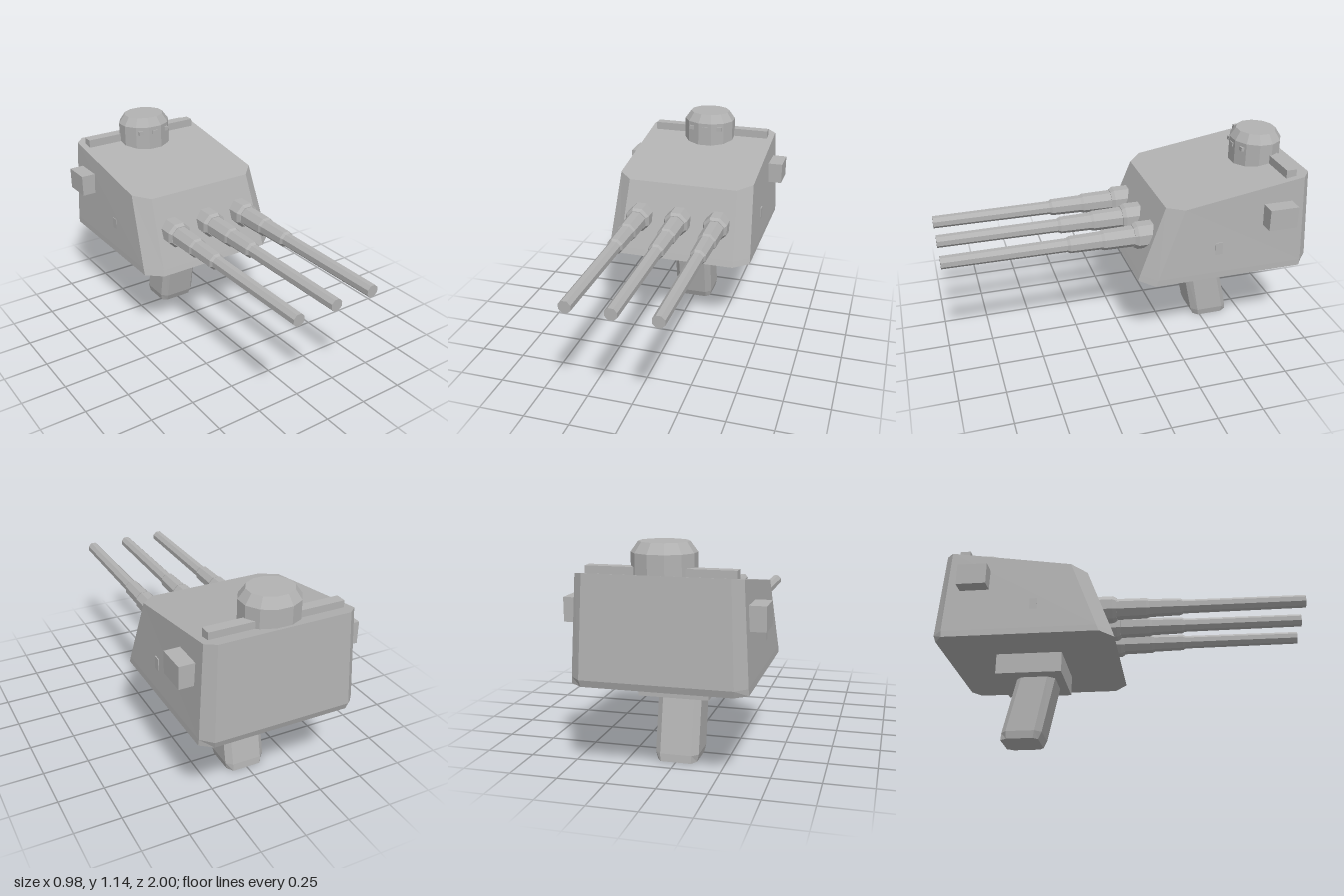
import * as THREE from 'three';

const paint = new THREE.MeshStandardMaterial({ color: 0xb2b2b2, flatShading: true });
paint.name = 'plain grey';

// Chamfered rectangle: front edge, two side points, back edge; mirrored to -x
function ring(xFront, zFront, xSide, zSideFront, zSideBack, xBack, zBack, height) {
  const half = [[xFront, zFront], [xSide, zSideFront], [xSide, zSideBack], [xBack, zBack]];
  const full = [...half, ...half.slice().reverse().map(([x, z]) => [-x, z])];
  return full.map(([x, z]) => [x, height(z), z]);
}

// Skin a stack of rings from bottom to top, with flat end caps
function loft(rings) {
  const n = rings[0].length, index = [];
  for (let j = 0; j < rings.length - 1; j++) {
    for (let i = 0; i < n; i++) {
      const a = j * n + i, b = j * n + (i + 1) % n;
      index.push(a, b, a + n, b, b + n, a + n);
    }
  }
  const top = (rings.length - 1) * n;
  for (let i = 1; i < n - 1; i++) {
    index.push(0, i + 1, i, top, top + i, top + i + 1);
  }
  const g = new THREE.BufferGeometry();
  g.setAttribute('position', new THREE.Float32BufferAttribute(rings.flat(2), 3));
  g.setIndex(index);
  g.computeVertexNormals();
  return g;
}

function lathe(points, sides) {
  return new THREE.LatheGeometry(points.map(([r, y]) => new THREE.Vector2(r, y)),
    sides, Math.PI / sides);
}

export function createModel() {
  const model = new THREE.Group();
  model.name = 'gunTurret';

  function add(name, geometry, x = 0, y = 0, z = 0) {
    const mesh = new THREE.Mesh(geometry, paint);
    mesh.name = name;
    mesh.position.set(x, y, z);
    model.add(mesh);
    return mesh;
  }
  // Box given by its limits
  function block(name, x0, x1, y0, y1, z0, z1) {
    return add(name, new THREE.BoxGeometry(x1 - x0, y1 - y0, z1 - z0),
      (x0 + x1) / 2, (y0 + y1) / 2, (z0 + z1) / 2);
  }

  // Armoured housing with a sloping roof
  const roof = z => 0.875 + (-0.18 - z) * 0.157;
  add('housing', loft([
    ring(0.342, -0.026, 0.427, -0.1, -0.94, 0.365, -0.988, () => 0.465),
    ring(0.34, -0.038, 0.426, -0.113, -0.945, 0.37, -1, () => 0.5),
    ring(0.32, -0.18, 0.4, -0.26, -0.93, 0.35, -0.975, roof),
  ]));

  // Slanted stem and its mounting block
  add('stem', loft([
    ring(0.08, -0.465, 0.104, -0.49, -0.635, 0.08, -0.672, () => 0),
    ring(0.082, -0.447, 0.113, -0.482, -0.638, 0.082, -0.668, () => 0.04),
    ring(0.082, -0.38, 0.113, -0.42, -0.565, 0.082, -0.595, () => 0.37),
  ]));
  block('mountingBlock', -0.18, 0.18, 0.35, 0.475, -0.7, -0.335);

  // Three stepped barrels with collars
  const k = 1 / Math.cos(Math.PI / 8);
  const barrel = lathe([
    [0, -0.22], [0.069, -0.22], [0.069, -0.045], [0.058, -0.025], [0.054, -0.025],
    [0.052, 0.14], [0.046, 0.155], [0.043, 0.325], [0.035, 0.34], [0.032, 1], [0, 1],
  ].map(([r, y]) => [r * k, y]), 8);
  barrel.rotateX(Math.PI / 2);
  for (const x of [-0.23, 0, 0.23]) add('barrel', barrel, x, 0.685, 0);

  // Observation cupola with viewing slits
  const cupola = add('cupola', lathe([
    [0, 0.9], [0.157, 0.9], [0.157, 1.09], [0.121, 1.14], [0, 1.14],
  ], 12), 0, 0, -0.817);
  cupola.scale.z = 0.91;
  block('viewingSlit', -0.018, 0.018, 1.045, 1.068, -0.71, -0.673);
  for (const s of [-1, 1]) {
    const slit = block('viewingSlit', s * 0.085 - 0.014, s * 0.085 + 0.014,
      1.045, 1.068, -0.725, -0.692);
    slit.rotation.y = s * 0.1;
  }

  // Roof bar behind the guns
  block('roofBar', -0.362, 0.362, 0.94, 1.025, -0.9, -0.842);

  // Side boxes and small side plates
  for (const s of [-1, 1]) {
    const box = block('sideBox', 0.36, 0.49, 0.745, 0.865, -0.867, -0.705);
    box.position.x *= s;
    const plate = block('sidePlate', 0.38, 0.42, 0.605, 0.675, -0.475, -0.435);
    plate.position.x *= s;
  }
  return model;
}
